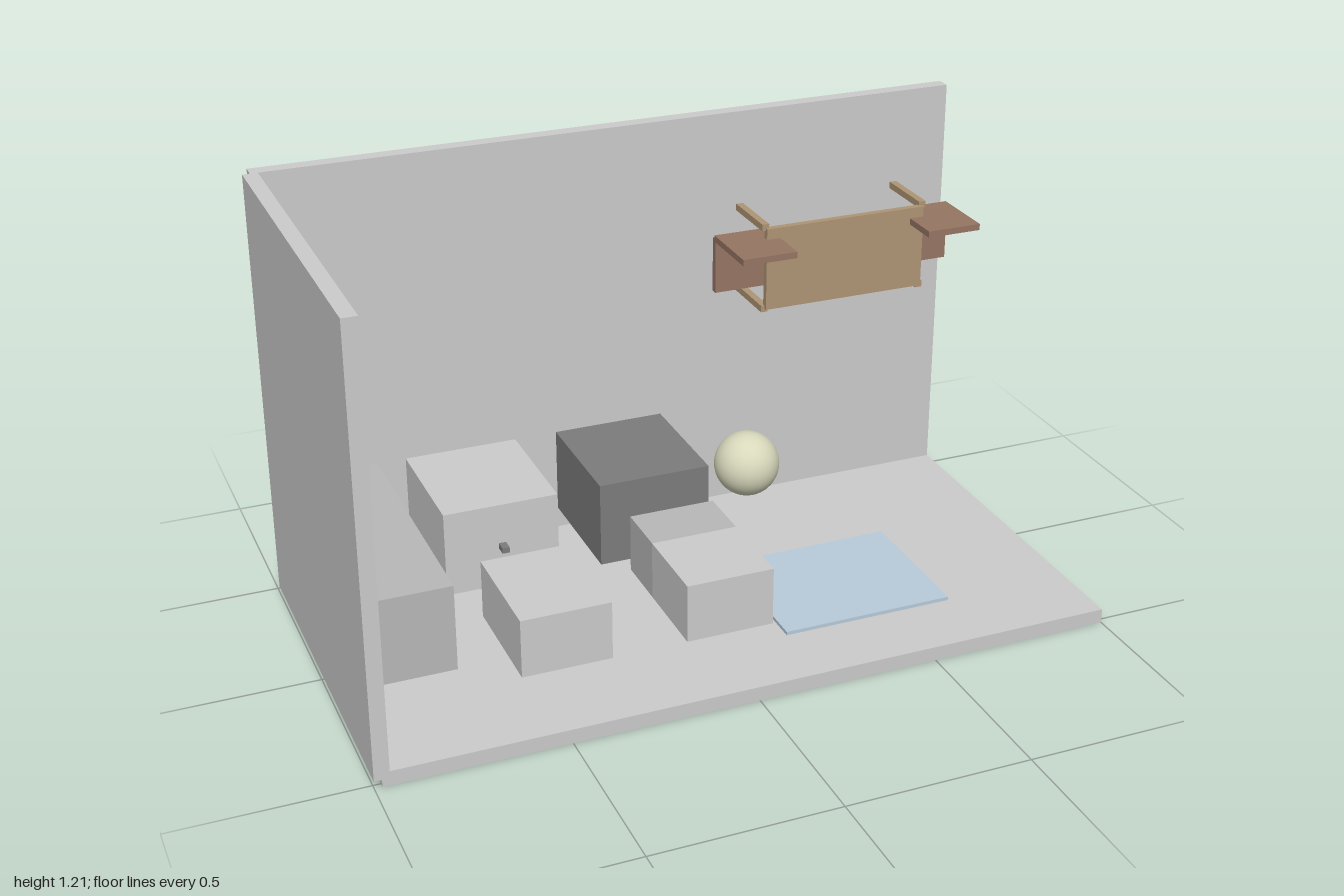
import * as THREE from 'three';

const paint = (color) => new THREE.MeshStandardMaterial({ color });
const grey = paint(0xcccccc);
const midGrey = paint(0xb8b8b8);
const darkGrey = paint(0x7c7c7c);
const blue = paint(0xb8cbd9);
const tan = paint(0xae9575);
const brown = paint(0x967563);
const cream = paint(0xd8d8bc);

// Box given by its extents along each axis
function block(parent, name, material, [x0, x1], [y0, y1], [z0, z1]) {
  const mesh = new THREE.Mesh(new THREE.BoxGeometry(x1 - x0, y1 - y0, z1 - z0), material);
  mesh.position.set((x0 + x1) / 2, (y0 + y1) / 2, (z0 + z1) / 2);
  mesh.name = name;
  parent.add(mesh);
  return mesh;
}

function group(parent, name) {
  const g = new THREE.Group();
  g.name = name;
  parent.add(g);
  return g;
}

export function createModel() {
  const model = new THREE.Group();
  model.name = 'room';

  // Room shell: floor and two walls
  const shell = group(model, 'shell');
  block(shell, 'floor', grey, [-0.98, 1], [0, 0.04], [-0.475, 0.515]);
  block(shell, 'sideWall', grey, [-1, -0.96], [0.02, 1.21], [-0.475, 0.515]);
  block(shell, 'backWall', grey, [-0.98, 1], [0.02, 1.21], [-0.515, -0.475]);

  // Furniture blocks along the back wall
  const height = [0.1, 0.34];
  block(model, 'counter', midGrey, [-0.94, -0.705], height, [-0.475, 0.238]);
  const cabinet = group(model, 'cabinet');
  block(cabinet, 'cabinetBody', grey, [-0.625, -0.31], height, [-0.475, -0.12]);
  block(cabinet, 'cabinetHandle', darkGrey, [-0.477, -0.457], [0.211, 0.227], [-0.12, -0.089]);
  block(model, 'darkCabinet', darkGrey, [-0.19, 0.125], height, [-0.475, -0.12]);

  // Low blocks in front of them
  const low = [0.14, 0.3];
  block(model, 'lowBlock', grey, [-0.588, -0.35], low, [0.08, 0.396]);
  const bed = group(model, 'twoToneBlock');
  block(bed, 'twoToneBlockFront', grey, [-0.15, 0.086], low, [0.157, 0.396]);
  block(bed, 'twoToneBlockBack', midGrey, [-0.15, 0.086], low, [0, 0.157]);

  // Rug
  block(model, 'rug', blue, [0.165, 0.642], [0.04, 0.05], [-0.08, 0.315]);

  // Floating ball
  const ball = new THREE.Mesh(new THREE.SphereGeometry(0.08, 32, 24), cream);
  ball.position.set(0.006, 0.616, 0.397);
  ball.name = 'ball';
  model.add(ball);

  // Table turned on its side, legs reaching the back wall
  const table = group(model, 'table');
  block(table, 'tableTop', tan, [0.365, 0.842], [0.696, 0.932], [-0.306, -0.287]);
  for (const x of [0.365, 0.842])
    for (const y of [0.696, 0.934])
      block(table, 'tableLeg', tan, [x - 0.01, x + 0.01], [y - 0.0095, y + 0.0095], [-0.475, -0.297]);

  // Chairs, each a seat with a panel hanging from its rear edge
  for (const x of [0.325, 0.88]) {
    const chair = group(model, 'chair');
    const width = [x - 0.079, x + 0.079];
    block(chair, 'chairSeat', brown, width, [0.884, 0.902], [-0.373, -0.176]);
    block(chair, 'chairBack', brown, width, [0.736, 0.893], [-0.383, -0.364]);
  }
  return model;
}
